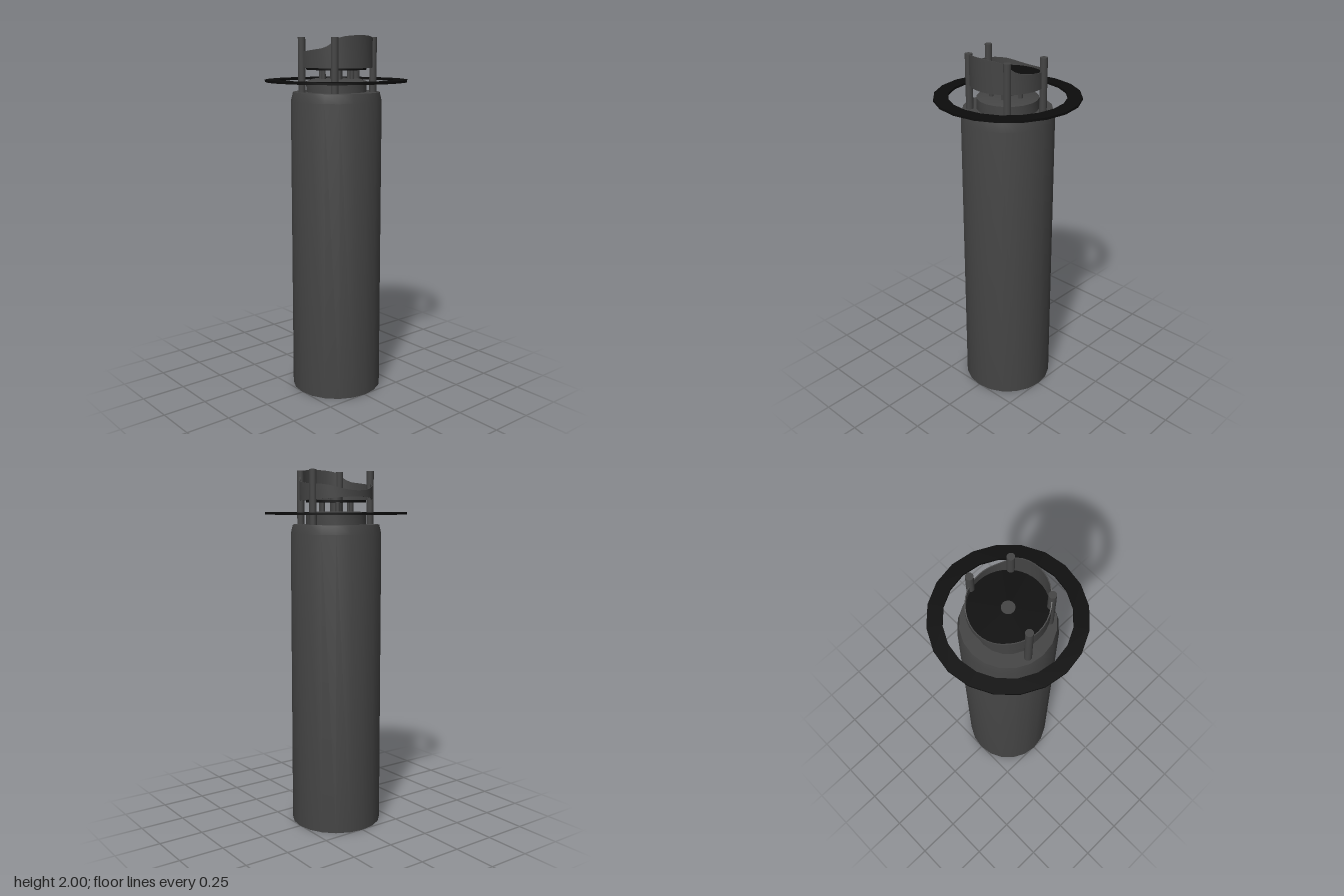
import * as THREE from 'three';
import { toCreasedNormals } from 'three/addons/utils/BufferGeometryUtils.js';

const SIDES = 20;
const grey = new THREE.MeshStandardMaterial({ color: 0x444444 });
const black = new THREE.MeshStandardMaterial({ color: 0x0c0c0c });

export function createModel() {
  const model = new THREE.Group();

  const add = (name, geometry, material, x = 0, y = 0, z = 0) => {
    const mesh = new THREE.Mesh(geometry, material);
    mesh.name = name;
    mesh.position.set(x, y, z);
    model.add(mesh);
    return mesh;
  };

  // Surface of revolution from [radius, height] pairs, bottom to top
  const turned = (profile, sides = SIDES) => toCreasedNormals(
    new THREE.LatheGeometry(profile.map(([r, y]) => new THREE.Vector2(r, y)), sides), 0.4);

  // Upright cylinder standing between two heights
  const rod = (name, r, y0, y1, x, z, material = grey, sides = 12) =>
    add(name, new THREE.CylinderGeometry(r, r, y1 - y0, sides), material, x, (y0 + y1) / 2, z);

  // Tall body with a chamfered shoulder
  add('body', turned([[0, 0], [0.254, 0], [0.25, 1.65], [0.238, 1.7], [0, 1.7]]), grey);

  // Stepped collar on the shoulder
  add('collar', turned([[0.165, 1.7], [0.165, 1.757], [0.13, 1.77], [0, 1.77]]), grey);

  // Flat floating ring
  add('ring', turned([[0.313, 1.754], [0.39, 1.754], [0.39, 1.766],
    [0.313, 1.766], [0.313, 1.754]]), black);

  // Central stem and the small pegs around it
  rod('stem', 0.034, 1.77, 1.874, 0, 0, grey, SIDES);
  for (let i = 0; i < 6; i++) {
    const a = (i + 0.5) * Math.PI / 3;
    rod('peg', 0.012, 1.765, 1.822, 0.09 * Math.cos(a), 0.09 * Math.sin(a), grey, 8);
  }

  // Lower plate and the dish floor
  rod('lowerPlate', 0.165, 1.819, 1.831, 0, 0, black, SIDES);
  rod('dishFloor', 0.197, 1.86, 1.87, 0, 0, black, SIDES);

  // Thin curved shield: low on the right, rising to a tall panel on the left
  const interpolate = (points, x) => {
    for (let i = 1; i < points.length; i++) {
      const [x0, y0] = points[i - 1], [x1, y1] = points[i];
      if (x <= x1) return y0 + (y1 - y0) * THREE.MathUtils.clamp((x - x0) / (x1 - x0), 0, 1);
    }
    return points[points.length - 1][1];
  };
  const topEdge = [[-0.2, 1.88], [-0.15, 1.905], [-0.1, 1.915], [0, 1.92],
    [0.1, 1.933], [0.13, 1.95], [0.165, 1.99], [0.2, 2]];
  const bottomEdge = [[-0.2, 1.848], [-0.13, 1.838], [-0.05, 1.832], [0.2, 1.83]];
  const shield = new THREE.LatheGeometry(
    [[0.2, 0], [0.2, 1], [0.195, 1], [0.195, 0], [0.2, 0]].map(([r, y]) => new THREE.Vector2(r, y)), 40);
  const p = shield.attributes.position;
  for (let i = 0; i < p.count; i++) {
    const x = 0.2 * p.getX(i) / Math.hypot(p.getX(i), p.getZ(i));
    p.setY(i, interpolate(p.getY(i) > 0.5 ? topEdge : bottomEdge, x));
  }
  shield.computeVertexNormals();
  add('shield', toCreasedNormals(shield, 0.5), grey);

  // Four upright posts, mirrored front to back
  for (const side of [-1, 1]) {
    rod('post', 0.02, 1.7, 1.99, -0.057, side * 0.193);
    rod('post', 0.02, 1.7, 1.99, 0.148, side * 0.134);
  }

  return model;
}
